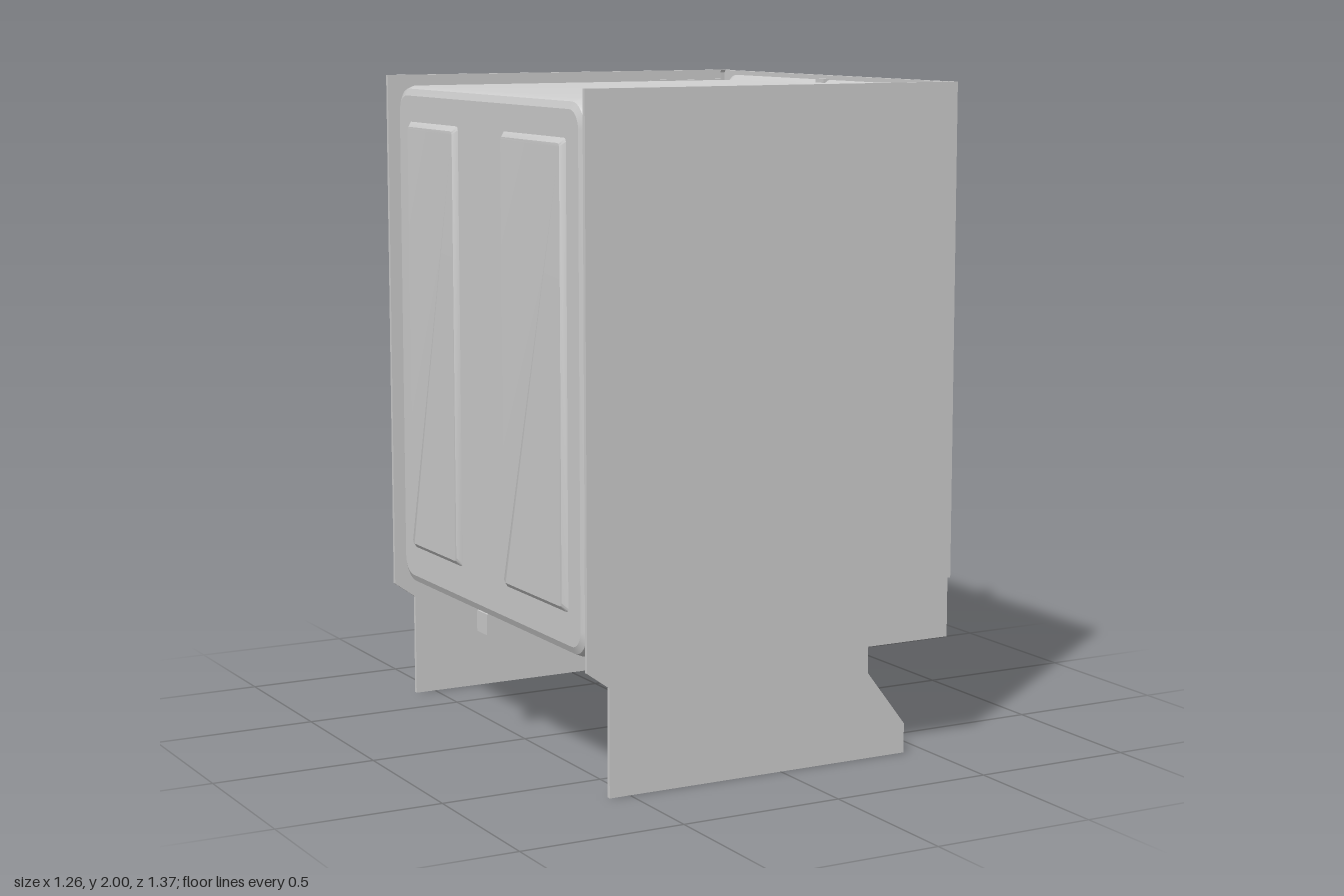
import * as THREE from 'three';
import { toCreasedNormals } from 'three/addons/utils/BufferGeometryUtils.js';

const mat = new THREE.MeshStandardMaterial({ color: 0xcccccc, side: THREE.DoubleSide });

function add(parent, name, geo, x = 0, y = 0, z = 0) {
  const m = new THREE.Mesh(geo, mat);
  m.name = name;
  m.position.set(x, y, z);
  parent.add(m);
  return m;
}

// Box given by its lower and upper limits
function box(parent, name, x0, x1, y0, y1, z0, z1) {
  return add(parent, name, new THREE.BoxGeometry(x1 - x0, y1 - y0, z1 - z0),
    (x0 + x1) / 2, (y0 + y1) / 2, (z0 + z1) / 2);
}

// Rounded rectangle points, counter-clockwise from the right side
function ring([x0, x1, y0, y1], r, n = 8) {
  const pts = [];
  const corners = [[x1 - r, y1 - r], [x0 + r, y1 - r], [x0 + r, y0 + r], [x1 - r, y0 + r]];
  corners.forEach(([cx, cy], k) => {
    for (let i = 0; i <= n; i++) {
      const a = (k + i / n) * Math.PI / 2;
      pts.push(new THREE.Vector2(cx + r * Math.cos(a), cy + r * Math.sin(a)));
    }
  });
  return pts;
}

// Loft through rounded rectangles {rect, r, z, open}; "open" lists flat edges left out after that section
function loft(sections, cap = false, n = 8) {
  const count = 4 * (n + 1), pos = [], idx = [];
  sections.forEach(s => ring(s.rect, s.r, n).forEach(p => pos.push(p.x, p.y, s.z)));
  for (let s = 0; s < sections.length - 1; s++) {
    for (let i = 0; i < count; i++) {
      const flat = i % (n + 1) === n ? Math.floor(i / (n + 1)) : -1;
      if ((sections[s].open || []).includes(flat)) continue;
      const a = s * count + i, b = s * count + (i + 1) % count;
      idx.push(a, b, b + count, a, b + count, a + count);
    }
  }
  if (cap) {
    const base = (sections.length - 1) * count;
    for (let i = 1; i < count - 1; i++) idx.push(base, base + i, base + i + 1);
  }
  const g = new THREE.BufferGeometry();
  g.setAttribute('position', new THREE.Float32BufferAttribute(pos, 3));
  g.setIndex(idx);
  return toCreasedNormals(g, 0.6);
}

// Sheet wall with pressed pans that bulge towards local +z
function wall(parent, name, rect, r, pans, depth, panRadius) {
  const g = new THREE.Group();
  g.name = name;
  const shape = new THREE.Shape(ring(rect, r));
  pans.forEach(p => {
    shape.holes.push(new THREE.Path(ring(p, panRadius).reverse()));
    const inner = [p[0] + 0.015, p[1] - 0.015, p[2] + 0.015, p[3] - 0.015];
    add(g, 'pressedPan', loft([{ rect: p, r: panRadius, z: 0 }, { rect: inner, r: panRadius, z: depth }], true));
  });
  add(g, 'sheet', new THREE.ShapeGeometry(shape));
  parent.add(g);
  return g;
}

function extrude(points, depth) {
  const s = new THREE.Shape(points.map(p => new THREE.Vector2(...p)));
  return new THREE.ExtrudeGeometry(s, { depth, bevelEnabled: false });
}

export function createModel() {
  const model = new THREE.Group();
  model.name = 'applianceCabinet';

  // Outer side panels with toe-kick notch, front trims and inner brackets
  const outline = [[-0.635, 2], [-0.635, 0.37], [-0.565, 0.32], [-0.565, 0], [0.43, 0], [0.43, 0.09],
    [0.3, 0.26], [0.3, 0.34], [0.58, 0.34], [0.58, 2]];
  for (const s of [1, -1]) {
    const side = s > 0 ? 'left' : 'right';
    add(model, side + 'Panel', extrude(outline, 0.013), 0, 0, s > 0 ? 0.672 : -0.685);
    box(model, side + 'FrontTrim', 0.578, 0.59, 0.52, 2, s * 0.665 - 0.02, s * 0.665 + 0.02);
    box(model, side + 'Bracket', 0.3, 0.58, 0.52, 1.97, s * 0.667 - 0.006, s * 0.667 + 0.006);
  }

  // Bent sheet plinth between the panels
  add(model, 'plinth', extrude([[0.3, 0.34], [0.3, 0.26], [0.43, 0.09], [0.43, 0],
    [0.418, 0], [0.418, 0.086], [0.288, 0.256], [0.288, 0.34]], 1.344), 0, 0, -0.672);

  // Tub shell: rounded back edge, walls, and flared front flange
  const Z = 0.645, Y0 = 0.39, Y1 = 1.97, R = 0.085;
  const sect = (x, inset, r, open) =>
    ({ rect: [-Z + inset, Z - inset, Y0 + inset, Y1 - inset], r, z: x, open });
  const shell = add(model, 'tubShell', loft([
    sect(-0.62, 0.03, R - 0.03),
    sect(-0.611, 0.009, R - 0.009),
    sect(-0.59, 0, R, [1, 2, 3]),
    sect(0.555, 0, R),
    { rect: [-0.65, 0.65, 0.38, 1.985], r: 0.07, z: 0.578 },
    { rect: [-0.66, 0.66, 0.37, 2], r: 0.01, z: 0.578 },
    { rect: [-0.66, 0.66, 0.37, 2], r: 0.01, z: 0.562 },
  ]));
  shell.rotation.y = Math.PI / 2;

  // Pressed walls and floor tray
  const lo = 0.515, hi = 1.86, flat = [Y0 + R, Y1 - R];
  const back = wall(model, 'backWall', [-Z + 0.03, Z - 0.03, Y0 + 0.03, Y1 - 0.03], R - 0.03,
    [[0.13, 0.54, lo, hi], [-0.54, -0.18, lo, hi]], 0.014, 0.012);
  back.rotation.y = -Math.PI / 2;
  back.position.x = -0.62;

  const left = wall(model, 'leftWall', [-0.59, 0.555, ...flat], 0.001,
    [[-0.58, -0.2, lo, hi], [0.14, 0.49, lo, hi]], 0.013, 0.012);
  left.position.z = Z;

  const right = wall(model, 'rightWall', [-0.555, 0.59, ...flat], 0.001,
    [[0.2, 0.58, lo, hi], [-0.48, -0.12, lo, hi]], 0.013, 0.012);
  right.rotation.y = Math.PI;
  right.position.z = -Z;

  const floor = wall(model, 'floor', [-0.59, 0.555, -Z + R, Z - R], 0.001,
    [[-0.5, 0.39, -0.535, 0.54]], 0.048, 0.03);
  floor.rotation.x = Math.PI / 2;
  floor.position.y = Y0;

  // Sump rings and filler cap set in the tray
  for (const [x, z, r] of [[-0.05, -0.02, 0.22], [-0.05, -0.02, 0.08], [0.06, 0.22, 0.1]]) {
    const h = r > 0.2 ? 0.004 : 0.008;
    add(model, 'sumpDisc', new THREE.CylinderGeometry(r, r, h, 40), x, 0.342, z);
  }

  // Spray arm with nozzles on a central hub
  const arm = new THREE.Group();
  arm.name = 'sprayArm';
  arm.position.set(-0.03, 0, -0.02);
  arm.rotation.y = -0.26;
  model.add(arm);
  const blade = add(arm, 'blade', new THREE.ExtrudeGeometry(
    new THREE.Shape(ring([-0.03, 0.03, -0.5, 0.5], 0.025)), { depth: 0.014, bevelEnabled: false }), 0, 0.412, 0);
  blade.rotation.x = Math.PI / 2;
  add(arm, 'hub', new THREE.CylinderGeometry(0.035, 0.045, 0.068, 24), 0, 0.376, 0);
  for (let i = 0; i < 14; i++) {
    add(arm, 'nozzle', new THREE.CylinderGeometry(0.008, 0.01, 0.008, 10),
      i % 2 ? 0.012 : -0.012, 0.414, -0.455 + i * 0.07);
  }

  // Water duct up the back wall, and rear support foot
  box(model, 'waterDuct', -0.62, -0.605, 0.42, 1.92, -0.07, 0.03);
  box(model, 'rearFoot', -0.61, -0.54, 0.33, 0.395, -0.1, -0.03);

  // Door latch plate with a slot
  const latch = new THREE.Shape([[0.558, 0.005], [0.63, 0.005], [0.63, 0.053], [0.558, 0.053]]
    .map(p => new THREE.Vector2(...p)));
  latch.holes.push(new THREE.Path(ring([0.61, 0.622, 0.014, 0.044], 0.002, 2).reverse()));
  const plate = add(model, 'latch',
    new THREE.ExtrudeGeometry(latch, { depth: 0.012, bevelEnabled: false }), 0, 1.976, 0);
  plate.rotation.x = -Math.PI / 2;

  return model;
}
